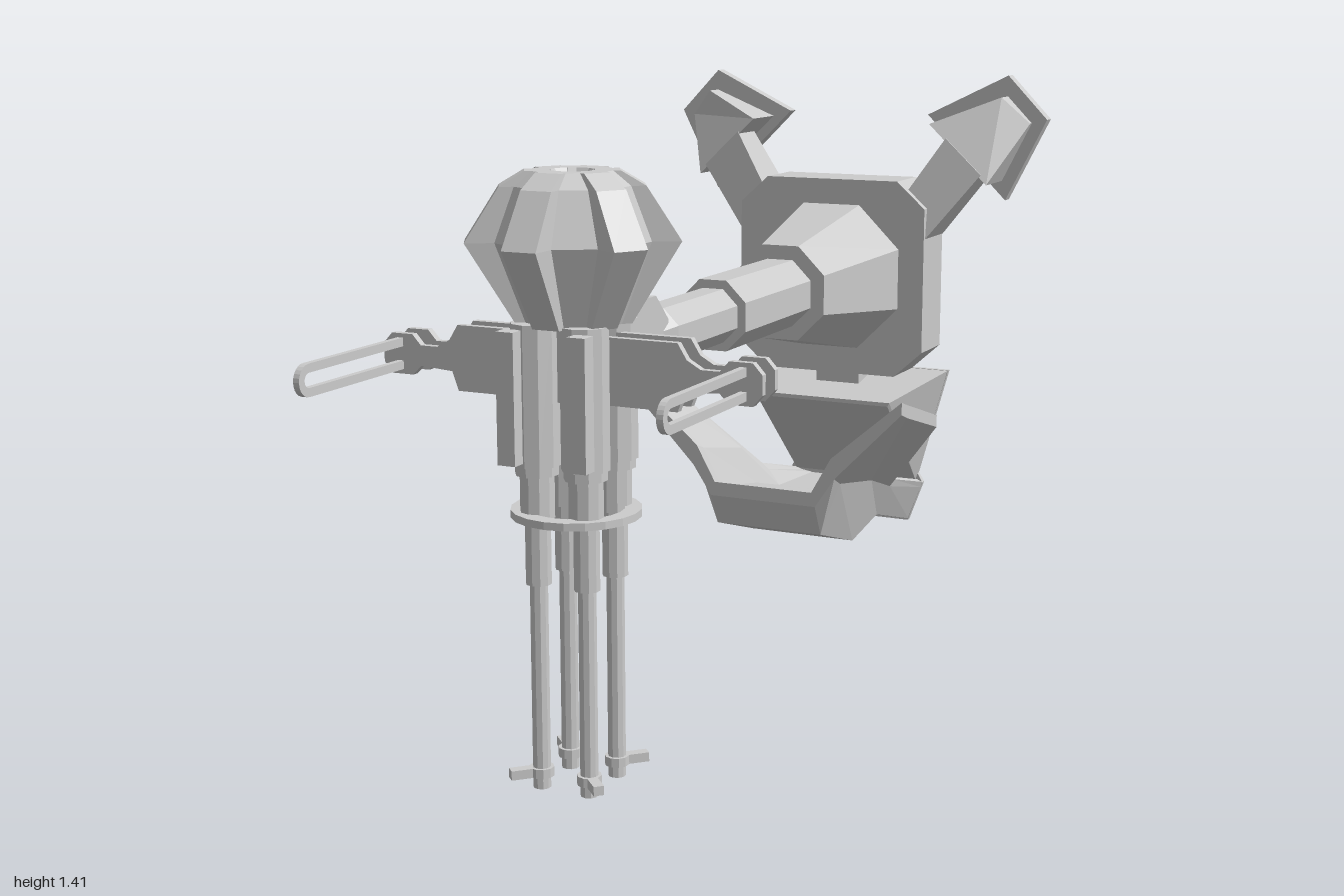
import * as THREE from 'three';

const material = new THREE.MeshStandardMaterial({ color: 0xcccccc, flatShading: true });

function add(parent, name, geometry, x = 0, y = 0, z = 0) {
  const mesh = new THREE.Mesh(geometry, material);
  mesh.name = name;
  mesh.position.set(x, y, z);
  parent.add(mesh);
  return mesh;
}

// Closed solid through matching counter-clockwise rings of [x, y, z], front ring first.
function loft(rings) {
  const n = rings[0].length;
  const index = [];
  for (let r = 0; r < rings.length - 1; r++) {
    for (let i = 0; i < n; i++) {
      const a = r * n + i, b = r * n + (i + 1) % n;
      index.push(a, a + n, b, b, a + n, b + n);
    }
  }
  const cap = ring => THREE.ShapeUtils.triangulateShape(ring.map(p => new THREE.Vector2(p[0], p[1])), []);
  const last = (rings.length - 1) * n;
  cap(rings[0]).forEach(([a, b, c]) => index.push(a, b, c));
  cap(rings[rings.length - 1]).forEach(([a, b, c]) => index.push(last + a, last + c, last + b));
  const geometry = new THREE.BufferGeometry();
  geometry.setAttribute('position', new THREE.Float32BufferAttribute(rings.flat(2), 3));
  geometry.setIndex(index);
  const flat = geometry.toNonIndexed();
  flat.computeVertexNormals();
  return flat;
}

// Half outline (right side, from bottom to top) completed by its mirror image.
const mirrored = half => [...half, ...half.map(([x, y]) => [-x, y]).reverse()];

function slab(points, z0, z1) {
  const shape = new THREE.Shape(points.map(p => new THREE.Vector2(...p)));
  return new THREE.ExtrudeGeometry(shape, { depth: z1 - z0, bevelEnabled: false }).translate(0, 0, z0);
}

// Eight-sided prism or taper along z, given its half heights.
function octagon(h0, z0, h1, z1) {
  const k = 1 / Math.cos(Math.PI / 8);
  return new THREE.CylinderGeometry(h0 * k, h1 * k, z0 - z1, 8)
    .rotateY(Math.PI / 8).rotateX(Math.PI / 2).translate(0, 0, (z0 + z1) / 2);
}

// Ribbed dome ring: six ribs of outer radius R and half width w, valleys at radius V.
function ribRing([height, R, V, w]) {
  const ring = [];
  for (let k = 0; k < 6; k++) {
    const a = Math.PI / 6 + k * Math.PI / 3, c = Math.cos(a), s = Math.sin(a);
    for (const [r, t] of [[V, -w], [R, -w], [R, w], [V, w]]) ring.push([r * c - t * s, r * s + t * c, height]);
  }
  return ring;
}

function buildHead() {
  const head = new THREE.Group();
  head.name = 'head';
  head.position.z = 0.6;

  const levels = [[1.24, 0.022, 0.02, 0.006], [1.28, 0.045, 0.043, 0.015], [1.28, 0.095, 0.08, 0.03],
    [1.25, 0.145, 0.115, 0.034], [1.14, 0.215, 0.155, 0.038], [0.975, 0.115, 0.095, 0.03]];
  add(head, 'ribbedDome', loft(levels.map(ribRing)).rotateX(-Math.PI / 2));
  add(head, 'core', new THREE.CylinderGeometry(0.06, 0.06, 0.16, 8), 0, 0.9, 0);

  // Four stepped legs with a diagonal peg at each foot
  const steps = [[0.05, 0.69, 0.98], [0.045, 0.67, 0.69], [0.036, 0.58, 0.67], [0.027, 0.44, 0.58],
    [0.019, 0, 0.44], [0.026, 0.025, 0.045]];
  for (const sx of [-1, 1]) {
    for (const sz of [-1, 1]) {
      const leg = new THREE.Group();
      leg.name = 'leg';
      leg.position.set(sx * 0.056, 0, sz * 0.061);
      for (const [r, y0, y1] of steps) {
        add(leg, 'legSection', new THREE.CylinderGeometry(r, r, y1 - y0, 10), 0, (y0 + y1) / 2, 0);
      }
      const peg = add(leg, 'footPeg', new THREE.BoxGeometry(0.065, 0.02, 0.022), sx * 0.025, 0.035, sz * 0.025);
      peg.rotation.y = -sx * sz * Math.PI / 4;
      head.add(leg);
    }
    add(head, 'frontPlate', new THREE.BoxGeometry(0.04, 0.27, 0.035), sx * 0.08, 0.835, 0.123);
  }

  // Ring tying the legs together
  const ring = new THREE.Shape().absarc(0, 0, 0.135, 0, Math.PI * 2);
  ring.holes.push(new THREE.Path().absarc(0, 0, 0.1, 0, Math.PI * 2, true));
  add(head, 'legRing', new THREE.ExtrudeGeometry(ring, { depth: 0.016, bevelEnabled: false, curveSegments: 10 })
    .rotateX(-Math.PI / 2), 0, 0.577, 0);

  // Paired side arm plates
  const arm = mirrored([[0.25, 0.82], [0.265, 0.86], [0.34, 0.865], [0.36, 0.845], [0.41, 0.845], [0.43, 0.868],
    [0.43, 0.908], [0.41, 0.93], [0.36, 0.93], [0.34, 0.908], [0.3, 0.908], [0.27, 0.925], [0.25, 0.957]]);
  for (const z of [-0.028, 0.032]) add(head, 'sideArmPlate', slab(arm, z - 0.008, z + 0.008));

  // Long slotted links pointing forward
  const stadium = (target, r, clockwise) => {
    if (clockwise) {
      target.absarc(0.03, 0, r, -Math.PI / 2, Math.PI / 2, true);
      target.absarc(0.365, 0, r, Math.PI / 2, -Math.PI / 2, true);
    } else {
      target.absarc(0.365, 0, r, -Math.PI / 2, Math.PI / 2);
      target.absarc(0.03, 0, r, Math.PI / 2, Math.PI * 1.5);
    }
    return target;
  };
  const link = stadium(new THREE.Shape(), 0.033, false);
  link.holes.push(stadium(new THREE.Path(), 0.015, true));
  for (const sx of [-1, 1]) {
    add(head, 'slottedLink', new THREE.ExtrudeGeometry(link, { depth: 0.014, bevelEnabled: false, curveSegments: 6 })
      .translate(0, 0, -0.007).rotateY(-Math.PI / 2), sx * 0.39, 0.888, 0);
  }
  return head;
}

function buildBoom() {
  const boom = new THREE.Group();
  boom.name = 'boom';
  boom.position.y = 0.893;
  add(boom, 'jointBracket', new THREE.BoxGeometry(0.06, 0.11, 0.1), 0, 0, 0.48);
  add(boom, 'jointCollar', octagon(0.05, 0.49, 0.05, 0.44));
  add(boom, 'joint', octagon(0.1, 0.045, 0.1, -0.045).rotateY(Math.PI / 2), 0, 0, 0.365);
  add(boom, 'boomTip', octagon(0.045, 0.29, 0.062, 0.25));
  add(boom, 'frontBoom', octagon(0.062, 0.25, 0.062, -0.06));
  add(boom, 'rearBoom', octagon(0.082, -0.055, 0.082, -0.45));
  add(boom, 'boomFlare', octagon(0.117, -0.445, 0.187, -0.78));
  return boom;
}

function buildBase() {
  const base = new THREE.Group();
  base.name = 'base';
  add(base, 'basePlate', slab(mirrored([[0.18, 0.637], [0.255, 0.705], [0.255, 1.077], [0.18, 1.145]]), -0.925, -0.78));
  add(base, 'keyholePlate', slab(mirrored([[0.06, 0.6], [0.06, 0.78], [0.12, 0.84], [0.12, 0.95], [0.06, 1.01]]), -0.962, -0.92));
  add(base, 'scoopMount', new THREE.BoxGeometry(0.12, 0.09, 0.12), 0, 0.595, -0.9);

  // Two arrow-shaped ears on diagonal arms
  const outline = [[0.41, 1.09], [0.515, 1.3], [0.41, 1.41], [0.195, 1.305]];
  const boss = [[0.4, 1.14, -0.83], [0.475, 1.29, -0.95], [0.41, 1.357, -0.91], [0.245, 1.29, -0.83]];
  const stem = [[0.175, 1.08], [0.255, 1.0], [0.385, 1.165], [0.29, 1.255]];
  for (const side of [-1, 1]) {
    const flip = ring => side > 0 ? ring : ring.map(([x, ...rest]) => [-x, ...rest]).reverse();
    const at = (ring, z) => flip(ring.map(([x, y]) => [x, y, z]));
    const ear = new THREE.Group();
    ear.name = side > 0 ? 'leftEar' : 'rightEar';
    const slope = flip(stem.map(([x, y], i) => [x, y, i < 2 ? -0.79 : -0.83]));
    add(ear, 'earArm', loft([slope, at(stem, -0.93)]));
    add(ear, 'earBoss', loft([flip(boss), at(boss, -0.975)]));
    add(ear, 'earPlate', loft([at(outline, -0.965), at(outline, -1)]));
    base.add(ear);
  }
  return base;
}

function buildScoop() {
  const scoop = new THREE.Group();
  scoop.name = 'scoop';
  // Each section: z, then floor, bend and wing edge outside, wing edge, bend and floor inside
  const sections = [
    [-0.345, [[0.14, 0.385], [0.19, 0.46], [0.36, 0.635], [0.36, 0.665], [0.18, 0.51], [0.13, 0.42]]],
    [-0.385, [[0.14, 0.305], [0.19, 0.44], [0.36, 0.62], [0.36, 0.652], [0.18, 0.495], [0.13, 0.4]]],
    [-0.605, [[0.14, 0.235], [0.19, 0.4], [0.36, 0.555], [0.36, 0.585], [0.175, 0.45], [0.13, 0.36]]],
    [-0.755, [[0.15, 0.27], [0.185, 0.35], [0.19, 0.37], [0.18, 0.376], [0.16, 0.36], [0.13, 0.32]]],
    [-0.99, [[0.155, 0.203], [0.19, 0.295], [0.195, 0.31], [0.18, 0.316], [0.16, 0.31], [0.13, 0.305]]],
  ];
  add(scoop, 'wingedTrough', loft(sections.map(([z, half]) => mirrored(half).map(([x, y]) => [x, y, z]))));
  // Overhanging wedge and the plate behind it
  const wedge = [[-0.725, [[0.185, 0.568], [0.19, 0.578]]], [-0.99, [[0.175, 0.31], [0.26, 0.625]]]];
  add(scoop, 'wedge', loft(wedge.map(([z, half]) => mirrored(half).map(([x, y]) => [x, y, z]))));
  add(scoop, 'backPlate', slab(mirrored([[0.155, 0.2], [0.195, 0.31], [0.18, 0.335], [0.26, 0.625]]), -1, -0.985));
  return scoop;
}

export function createModel() {
  const model = new THREE.Group();
  model.name = 'model';
  model.add(buildHead(), buildBoom(), buildBase(), buildScoop());
  return model;
}
